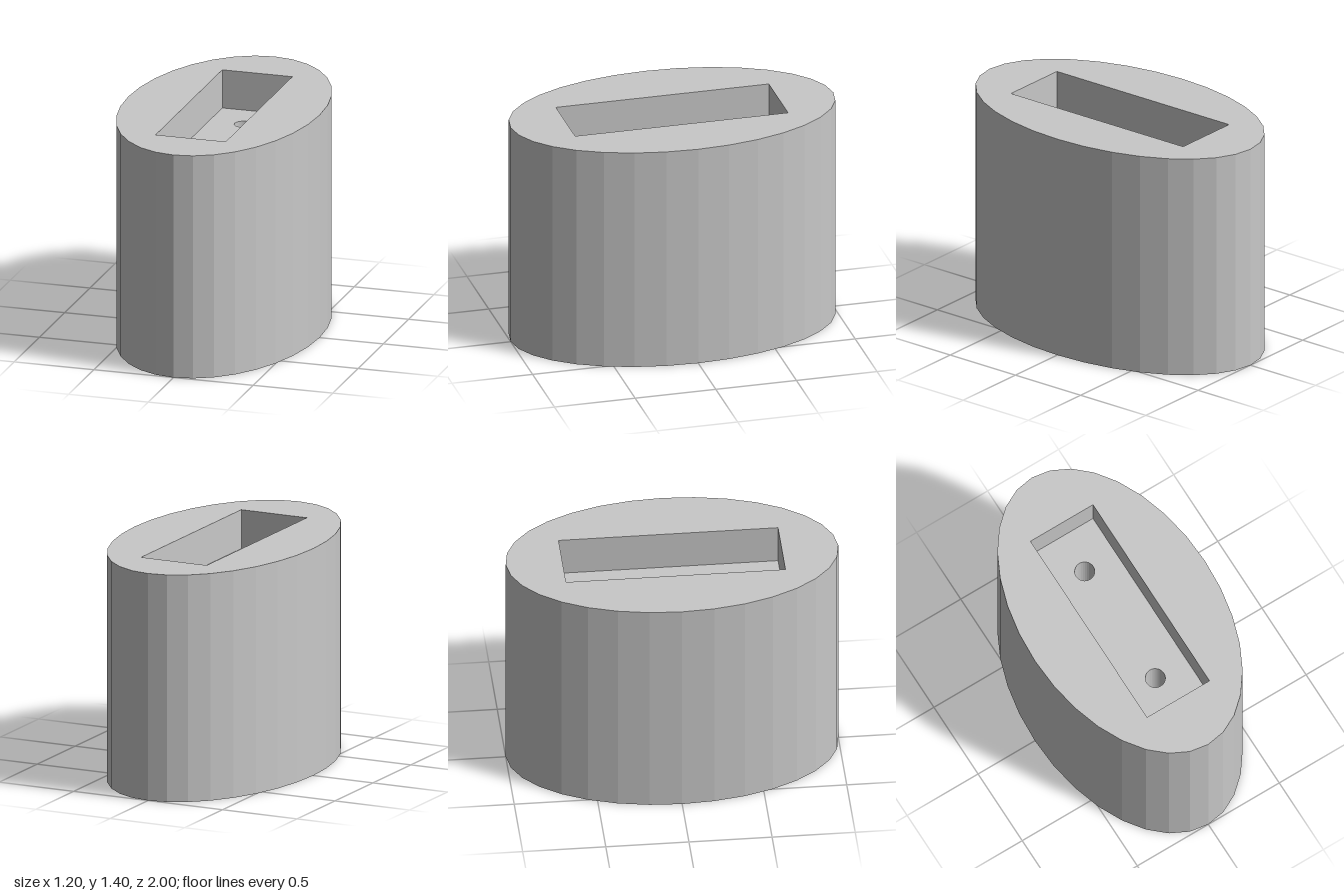
import * as THREE from 'three';

const HEIGHT = 1.4, FLOOR = 1.16; // block height and floor of the slot

// Counter-clockwise outline points of an ellipse
function ellipse(cx, cy, rx, ry, n) {
  return Array.from({ length: n }, (_, i) => {
    const a = (i / n) * Math.PI * 2;
    return new THREE.Vector2(cx + rx * Math.cos(a), cy + ry * Math.sin(a));
  });
}

// Flat-shaded upright wall along a closed outline; counter-clockwise faces outward
function wall(points, y0, y1) {
  const pos = [];
  points.forEach((a, i) => {
    const b = points[(i + 1) % points.length];
    const a0 = [a.x, y0, -a.y], b0 = [b.x, y0, -b.y];
    const a1 = [a.x, y1, -a.y], b1 = [b.x, y1, -b.y];
    pos.push(...a0, ...b0, ...b1, ...a0, ...b1, ...a1);
  });
  const g = new THREE.BufferGeometry();
  g.setAttribute('position', new THREE.Float32BufferAttribute(pos, 3));
  g.computeVertexNormals();
  return g;
}

// Horizontal face with holes, looking up or down
function face(outline, holes, y, up) {
  const shape = new THREE.Shape(outline);
  shape.holes = holes.map((h) => new THREE.Path(h));
  return new THREE.ShapeGeometry(shape).rotateX(up ? -Math.PI / 2 : Math.PI / 2).translate(0, y, 0);
}

export function createModel() {
  const model = new THREE.Group();
  model.name = 'slottedOvalBlock';
  const grey = new THREE.MeshStandardMaterial({ color: 0xc8c8c8 });
  grey.name = 'light grey';
  const add = (name, geometry) => {
    const mesh = new THREE.Mesh(geometry, grey);
    mesh.name = name;
    model.add(mesh);
  };

  const oval = ellipse(0, 0, 0.6, 1, 32);
  const slot = [[-0.22, -0.66], [0.22, -0.66], [0.22, 0.66], [-0.22, 0.66]]
    .map(([x, y]) => new THREE.Vector2(x, y));
  const holes = [-0.4, 0.4].map((z) => ellipse(0, z, 0.06, 0.06, 32));

  // Oval body
  add('outerWall', wall(oval, 0, HEIGHT));
  add('topFace', face(oval, [slot], HEIGHT, true));
  add('bottomFace', face(oval, holes, 0, false));

  // Rectangular slot in the top
  add('slotWalls', wall([...slot].reverse(), FLOOR, HEIGHT));
  add('slotFloor', face(slot, holes, FLOOR, true));

  // Screw holes from the slot floor through the base
  holes.forEach((h, i) => add(i ? 'backHole' : 'frontHole', wall([...h].reverse(), 0, FLOOR)));

  return model;
}
